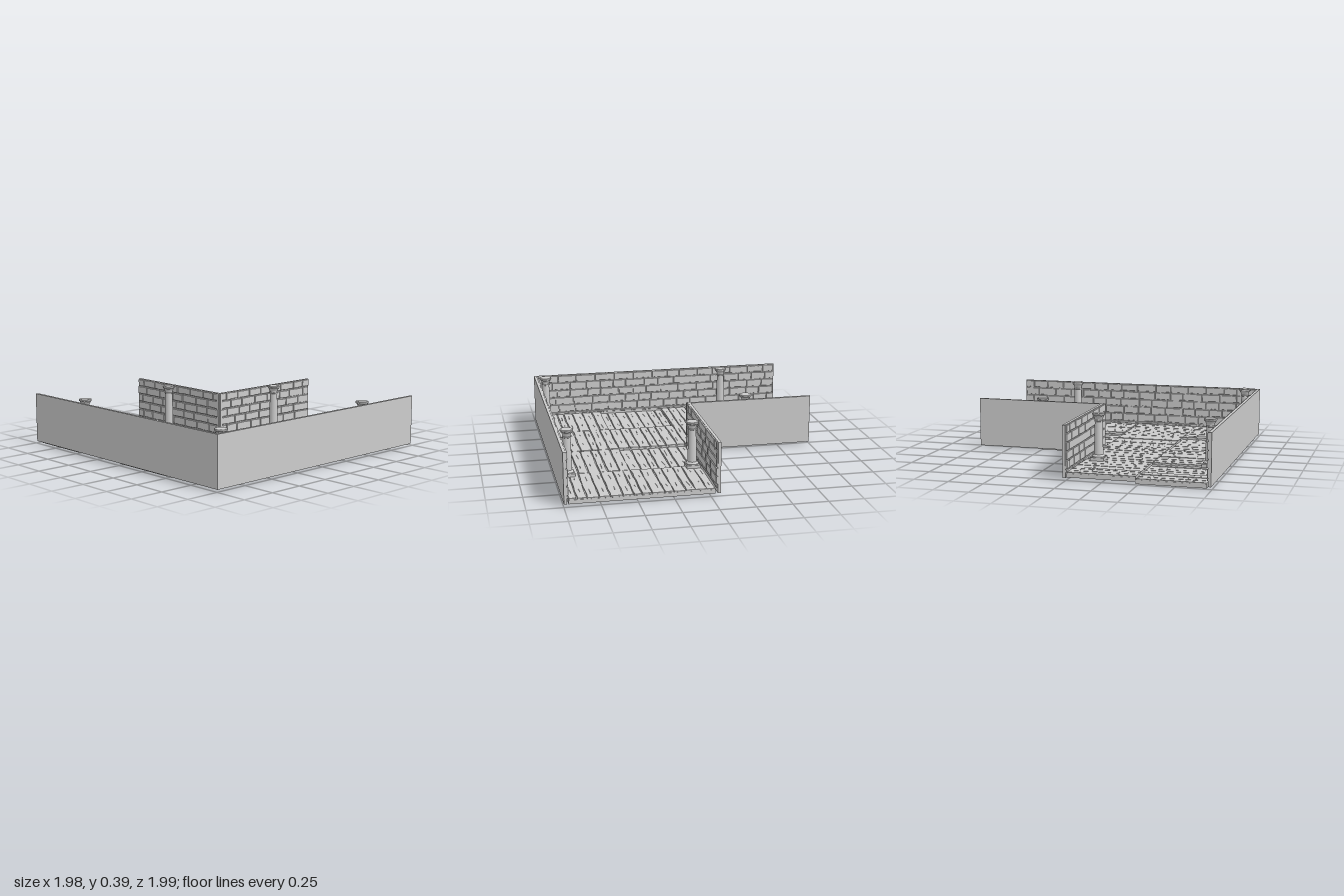
import * as THREE from 'three';
import { mergeGeometries } from 'three/addons/utils/BufferGeometryUtils.js';

const stone = new THREE.MeshStandardMaterial({ color: 0xcccccc, flatShading: true });
const smooth = new THREE.MeshStandardMaterial({ color: 0xcccccc });

// Seeded random number between a and b
let seed = 7;
function rand(a, b) {
  seed = (seed * 16807) % 2147483647;
  return a + (b - a) * (seed / 2147483647);
}

function add(parent, name, geometry, material = stone) {
  const mesh = new THREE.Mesh(geometry, material);
  mesh.name = name;
  parent.add(mesh);
  return mesh;
}

// Slab with a chipped outline and optional crack holes, from (0,0) to (w,h), thick along z
function roughSlab(w, h, depth, jag, steps, cracks, bevel) {
  const pts = [];
  const b = bevel;
  for (let i = 0; i <= steps; i++) pts.push(new THREE.Vector2(b + (w - 2 * b) * i / steps, b + rand(0, jag)));
  for (let i = steps; i >= 0; i--) pts.push(new THREE.Vector2(b + (w - 2 * b) * i / steps, h - b - rand(0, jag)));
  const shape = new THREE.Shape(pts);
  for (let i = 0; i < cracks; i++) {
    const x = w * (i + rand(0.15, 0.3)) / cracks;
    const y = h * rand(0.35, 0.6);
    const len = w / cracks * rand(0.3, 0.6);
    const tilt = h * rand(-0.12, 0.2);
    shape.holes.push(new THREE.Path([
      new THREE.Vector2(x, y),
      new THREE.Vector2(x + len * 0.6, y + tilt * 0.6 + 0.0035),
      new THREE.Vector2(x + len, y + tilt),
      new THREE.Vector2(x + len * 0.5, y + tilt * 0.5),
    ]));
  }
  return new THREE.ExtrudeGeometry(shape, {
    depth: depth - b, bevelEnabled: b > 0, bevelSize: b, bevelThickness: b, bevelSegments: 1,
  });
}

// Wall running along local x, bricks facing local +z, brick face at z = 0
const ROWS = [0.05, 0.072, 0.135, 0.196, 0.258, 0.32, 0.378];
function makeWall(name, length, x, z, turn) {
  const wall = new THREE.Group();
  wall.name = name;
  const back = new THREE.BoxGeometry(length, 0.363, 0.021);
  back.translate(0, 0.1965, -0.0195);
  add(wall, name + 'Slab', back);

  const bricks = [];
  const end = length / 2 - 0.006;
  for (let r = 0; r < ROWS.length - 1; r++) {
    let at = -end;
    let first = true;
    while (at < end - 0.01) {
      let w = first && r % 2 ? rand(0.05, 0.08) : rand(0.1, 0.16);
      if (end - at - w < 0.05) w = end - at;
      const h = ROWS[r + 1] - ROWS[r];
      const brick = roughSlab(w - 0.004, h - 0.003, 0.01 + rand(0, 0.004), 0.004, 4, 0, 0.002);
      brick.translate(at + 0.002, ROWS[r] + 0.0015, -0.011);
      bricks.push(brick);
      at += w;
      first = false;
    }
  }
  add(wall, name + 'Bricks', mergeGeometries(bricks));
  wall.position.set(x, 0, z);
  wall.rotation.y = turn;
  return wall;
}

// Floor tile: a base board topped with worn planks
function makeTile(x0, x1, z0, z1, drop) {
  const tile = new THREE.Group();
  tile.name = 'floorTile';
  const w = x1 - x0, d = z1 - z0;
  const base = new THREE.BoxGeometry(w - 0.002, 0.028, d - 0.002);
  base.translate((x0 + x1) / 2, 0.029, (z0 + z1) / 2);
  add(tile, 'tileBase', base);

  const planks = [];
  const weights = Array.from({ length: 7 }, () => rand(0.75, 1.25));
  const total = weights.reduce((a, b) => a + b, 0);
  let z = z1;
  for (const k of weights) {
    const h = d * k / total;
    const inset = rand(0, 0.005);
    const plank = roughSlab(w - inset, h, 0.009 + rand(0, 0.003), 0.006, 7, 2, 0.0008);
    plank.rotateX(-Math.PI / 2);
    plank.translate(x0, 0.0425, z);
    planks.push(plank);
    z -= h;
  }
  add(tile, 'planks', mergeGeometries(planks));
  tile.position.y = -drop;
  return tile;
}

// Round column on a square plinth, with a flared capital
function makeColumn(x, z) {
  const column = new THREE.Group();
  column.name = 'column';
  const plinth = new THREE.BoxGeometry(0.098, 0.026, 0.098);
  plinth.translate(0, 0.061, 0);
  add(column, 'plinth', plinth);
  const sections = [
    ['columnFoot', [[0.046, 0.07], [0.046, 0.08], [0.036, 0.092], [0.032, 0.094]]],
    ['shaft', [[0.033, 0.09], [0.031, 0.2], [0.027, 0.335]]],
    ['neckRing', [[0.026, 0.328], [0.031, 0.331], [0.031, 0.338], [0.026, 0.341]]],
    ['capital', [[0.027, 0.338], [0.029, 0.35], [0.035, 0.362], [0.044, 0.374]]],
    ['capitalTop', [[0.04, 0.374], [0.046, 0.376], [0.046, 0.386], [0.042, 0.389], [0, 0.389]]],
  ];
  for (const [name, profile] of sections) {
    const pts = profile.map(([r, y]) => new THREE.Vector2(r, y));
    add(column, name, new THREE.LatheGeometry(pts, 24), name === 'shaft' ? smooth : stone);
  }
  column.position.set(x, 0, z);
  return column;
}

export function createModel() {
  const model = new THREE.Group();
  model.name = 'dungeonCorner';

  // Floor: L-shaped grid of tiles, some sitting slightly lower
  const cols = [[-0.962, -0.478], [-0.478, 0.004], [0.013, 0.498], [0.498, 0.985]];
  const rows = [[-0.975, -0.51], [-0.51, -0.035], [-0.035, 0.47], [0.47, 0.968]];
  const lowered = ['0,0', '0,2', '2,2'];
  cols.forEach(([x0, x1], c) => rows.forEach(([z0, z1], r) => {
    if (c > 1 && r < 2) return;
    model.add(makeTile(x0, x1, z0, z1, lowered.includes(c + ',' + r) ? 0.015 : 0));
  }));

  // Walls: two outer, two around the inner corner
  model.add(makeWall('sideWall', 1.994, -0.963, 0, Math.PI / 2));
  model.add(makeWall('frontWall', 1.978, -0.004, 0.967, Math.PI));
  model.add(makeWall('innerSideWall', 0.957, -0.004, -0.5185, -Math.PI / 2));
  model.add(makeWall('innerBackWall', 0.989, 0.4905, -0.041, 0));

  // Columns
  const spots = [[-0.89, -0.52], [-0.09, -0.52], [0.51, 0.025], [-0.885, 0.915], [0.51, 0.915]];
  for (const [x, z] of spots) model.add(makeColumn(x, z));

  return model;
}
